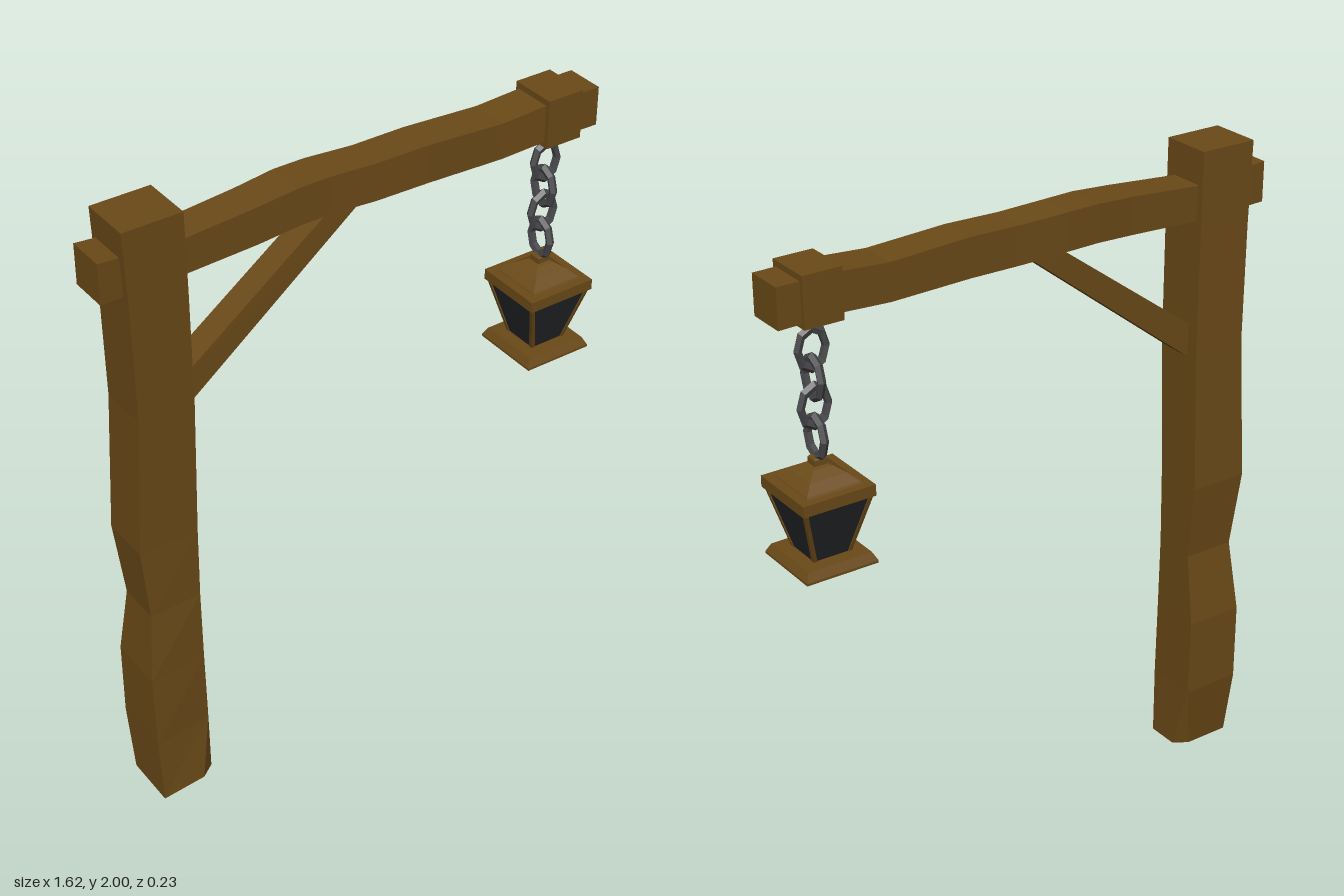
import * as THREE from 'three';

const mat = (color) => new THREE.MeshStandardMaterial({ color, flatShading: true });

// Skin a list of rings; each ring runs counter-clockwise seen from the loft's far end.
function loft(rings) {
  const n = rings[0].length;
  const pos = [];
  const tri = (a, b, c) => pos.push(...a, ...b, ...c);
  for (let i = 0; i < rings.length - 1; i++) {
    for (let k = 0; k < n; k++) {
      const j = (k + 1) % n;
      tri(rings[i][k], rings[i][j], rings[i + 1][j]);
      tri(rings[i][k], rings[i + 1][j], rings[i + 1][k]);
    }
  }
  const first = rings[0], last = rings[rings.length - 1];
  for (let k = 1; k < n - 1; k++) {
    tri(first[0], first[k + 1], first[k]);
    tri(last[0], last[k], last[k + 1]);
  }
  const geo = new THREE.BufferGeometry();
  geo.setAttribute('position', new THREE.Float32BufferAttribute(pos, 3));
  geo.computeVertexNormals();
  return geo;
}

// Square-plan tapered solid from [y, halfWidth] steps
const squareStack = (steps) => loft(steps.map(([y, h]) =>
  [[-h, y, h], [h, y, h], [h, y, -h], [-h, y, -h]]));

export function createModel() {
  const model = new THREE.Group();
  const wood = mat(0x6b4a18);
  const iron = mat(0x48484c);
  const glass = mat(0x222426);
  const add = (parent, name, geo, material) => {
    const mesh = new THREE.Mesh(geo, material);
    mesh.name = name;
    parent.add(mesh);
    return mesh;
  };

  // Crooked post: [y, x0, x1, zBack, zFront, front skew, chamfer of the two +x corners]
  const postSections = [
    [0, -0.74, -0.55, -0.085, 0.085, 0.01, 0.045],
    [0.22, -0.745, -0.557, -0.115, 0.075, 0.022, 0],
    [0.47, -0.745, -0.56, -0.115, 0.067, 0.015, 0],
    [0.7, -0.725, -0.56, -0.085, 0.052, 0.003, 0],
    [0.94, -0.747, -0.56, -0.105, 0.054, 0, 0],
    [1.4, -0.73, -0.557, -0.09, 0.07, 0, 0],
    [1.75, -0.738, -0.562, -0.083, 0.077, 0, 0],
    [2, -0.75, -0.568, -0.077, 0.083, 0, 0],
  ];
  add(model, 'post', loft(postSections.map(([y, x0, x1, z0, z1, skew, c]) => [
    [x0, y, z1], [x1 - c, y, z1 - skew], [x1, y, z1 - skew - c * 0.7],
    [x1, y, z0 + c * 0.6], [x1 - c, y, z0], [x0, y, z0],
  ])), wood);

  // Wavy cross beam: [x, yBottom, yTop, zBack, zFront]
  const beamSections = [
    [-0.81, 1.797, 1.92, -0.06, 0.06],
    [-0.56, 1.79, 1.897, -0.06, 0.05],
    [-0.33, 1.802, 1.915, -0.064, 0.053],
    [-0.2, 1.81, 1.925, -0.073, 0.049],
    [-0.1, 1.809, 1.924, -0.075, 0.046],
    [0.05, 1.802, 1.918, -0.067, 0.051],
    [0.22, 1.802, 1.92, -0.065, 0.055],
    [0.47, 1.795, 1.907, -0.064, 0.058],
    [0.63, 1.802, 1.917, -0.062, 0.061],
    [0.81, 1.797, 1.917, -0.062, 0.06],
  ];
  add(model, 'crossBeam', loft(beamSections.map(([x, y0, y1, z0, z1]) =>
    [[x, y0, z1], [x, y0, z0], [x, y1, z0], [x, y1, z1]])), wood);

  // Diagonal brace between post and beam
  add(model, 'brace', loft([
    [[-0.57, 1.355, 0.035], [-0.57, 1.355, -0.05], [-0.57, 1.46, -0.05], [-0.57, 1.46, 0.035]],
    [[0.04, 1.825, 0.03], [0.04, 1.825, -0.05], [-0.07, 1.825, -0.05], [-0.07, 1.825, 0.03]],
  ]), wood);

  // Collar around the beam end
  const collar = add(model, 'beamCollar', new THREE.BoxGeometry(0.12, 0.15, 0.148), wood);
  collar.position.set(0.68, 1.86, 0);

  // Chain and lantern hang below the collar
  const hanging = new THREE.Group();
  hanging.name = 'hangingLantern';
  hanging.position.set(0.68, 0, 0);
  model.add(hanging);

  add(hanging, 'chainMount', squareStack([[1.76, 0.016], [1.772, 0.027], [1.79, 0.027]]), wood);

  // Links alternate by a quarter turn
  [1.695, 1.61, 1.528, 1.437].forEach((y, i) => {
    const link = add(hanging, 'chainLink', new THREE.TorusGeometry(0.048, 0.013, 5, 8), iron);
    link.scale.set(0.9, 1.2, 1);
    link.position.y = y;
    link.rotation.y = i % 2 ? Math.PI / 2 : 0;
  });

  add(hanging, 'lanternBase', squareStack([[1.065, 0.113], [1.072, 0.113], [1.097, 0.1]]), wood);
  add(hanging, 'lanternGlass', squareStack([[1.09, 0.056], [1.28, 0.105]]), glass);
  add(hanging, 'lanternCap', squareStack([[1.272, 0.113], [1.306, 0.113]]), wood);
  add(hanging, 'lanternRoof', squareStack([
    [1.3, 0.09], [1.312, 0.083], [1.336, 0.058], [1.354, 0.03],
    [1.358, 0.019], [1.375, 0.019], [1.385, 0.01],
  ]), wood);

  // Slanted corner bars of the lantern
  const bar = (y, h, sx, sz) => {
    const t = 0.006, cx = sx * h, cz = sz * h;
    return [[cx - t, y, cz + t], [cx + t, y, cz + t], [cx + t, y, cz - t], [cx - t, y, cz - t]];
  };
  for (const sx of [-1, 1]) for (const sz of [-1, 1]) {
    add(hanging, 'lanternCornerBar',
      loft([bar(1.09, 0.053, sx, sz), bar(1.278, 0.103, sx, sz)]), wood);
  }

  return model;
}
